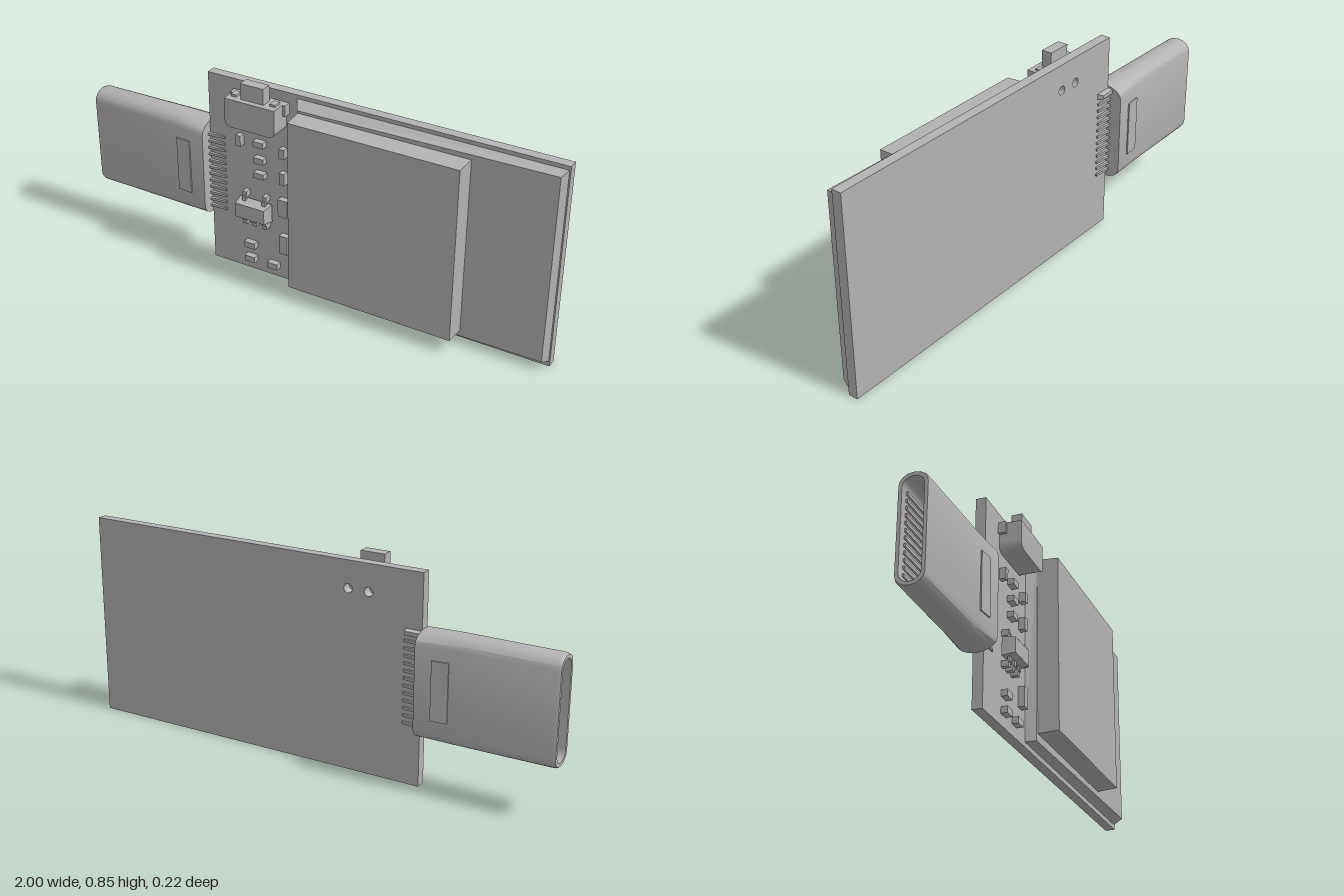
import * as THREE from 'three';
import { toCreasedNormals } from 'three/addons/utils/BufferGeometryUtils.js';

const grey = new THREE.MeshStandardMaterial({ color: 0xb3b3b3 });
grey.name = 'plain grey';

function add(parent, name, geometry) {
  const mesh = new THREE.Mesh(geometry, grey);
  mesh.name = name;
  parent.add(mesh);
  return mesh;
}

// Box given by its limits on each axis
function box(parent, name, x0, x1, y0, y1, z0, z1) {
  const mesh = add(parent, name, new THREE.BoxGeometry(x1 - x0, y1 - y0, z1 - z0));
  mesh.position.set((x0 + x1) / 2, (y0 + y1) / 2, (z0 + z1) / 2);
  return mesh;
}

// Block whose front corners differ from its back ones; corners run [left-bottom, right-bottom, right-top, left-top]
function taperedBlock(parent, name, back, zBack, front, zFront) {
  const g = new THREE.BoxGeometry(2, 2, 2);
  const p = g.attributes.position;
  for (let i = 0; i < p.count; i++) {
    const right = p.getX(i) > 0, top = p.getY(i) > 0, fore = p.getZ(i) > 0;
    const [x, y] = (fore ? front : back)[top ? (right ? 2 : 3) : (right ? 1 : 0)];
    p.setXYZ(i, x, y, fore ? zFront : zBack);
  }
  const flat = g.toNonIndexed();
  flat.computeVertexNormals();
  return add(parent, name, flat);
}
const rect = (x0, x1, y0, y1) => [[x0, y0], [x1, y0], [x1, y1], [x0, y1]];

// Rounded-rectangle section in the yz plane; half sizes hy, hz and corner sizes cy, cz
function section(x, hy, hz, cy, cz) {
  const points = [], steps = 4;
  for (let q = 0; q < 4; q++) {
    const sy = q === 0 || q === 3 ? 1 : -1, sz = q < 2 ? 1 : -1;
    for (let k = 0; k <= steps; k++) {
      const a = (q + k / steps) * Math.PI / 2;
      points.push([x, 0.414 + sy * (hy - cy) + cy * Math.cos(a), -0.034 + sz * (hz - cz) + cz * Math.sin(a)]);
    }
  }
  return points;
}

function loft(rings) {
  const n = rings[0].length, index = [];
  for (let r = 0; r < rings.length - 1; r++) {
    for (let j = 0; j < n; j++) {
      const a = r * n + j, b = r * n + (j + 1) % n;
      index.push(a, a + n, b, b, a + n, b + n);
    }
  }
  const g = new THREE.BufferGeometry();
  g.setAttribute('position', new THREE.Float32BufferAttribute(rings.flat(2), 3));
  g.setIndex(index);
  return toCreasedNormals(g, 0.5);
}

function buildBoard(model) {
  const shape = new THREE.Shape(rect(-0.46, 1, 0, 0.827).map(([x, y]) => new THREE.Vector2(x, y)));
  for (const x of [-0.24, -0.155]) {
    shape.holes.push(new THREE.Path().absarc(x, 0.72, 0.018, 0, Math.PI * 2, true));
  }
  const g = new THREE.ExtrudeGeometry(shape, { depth: 0.04, bevelEnabled: false, curveSegments: 10 });
  add(model, 'circuitBoard', g).position.z = -0.05;
}

function buildScreen(model) {
  // Wide tray with sloped edges, and the thick block on top of it
  taperedBlock(model, 'screenTray', rect(-0.065, 0.995, 0.02, 0.812), -0.01,
    [[-0.05, 0.025], [0.982, 0.038], [0.982, 0.8], [-0.04, 0.785]], 0.03);
  taperedBlock(model, 'screenBlock', rect(-0.038, 0.658, 0.057, 0.776), 0.03,
    rect(-0.034, 0.654, 0.061, 0.772), 0.112);
}

function buildPlug(model) {
  const plug = new THREE.Group();
  plug.name = 'plug';
  model.add(plug);
  // Shell flares towards the board and is hollow at the tip
  add(plug, 'plugShell', loft([
    section(-0.462, 0, 0, 0, 0),
    section(-0.462, 0.204, 0.077, 0.045, 0.07),
    section(-0.6, 0.21, 0.064, 0.045, 0.06),
    section(-0.99, 0.21, 0.056, 0.045, 0.052),
    section(-1, 0.206, 0.053, 0.043, 0.05),
    section(-1, 0.192, 0.04, 0.035, 0.038),
    section(-0.7, 0.192, 0.04, 0.035, 0.038),
    section(-0.7, 0, 0, 0, 0),
  ]));
  for (const side of [1, -1]) {
    // Latch plates on both faces
    const latch = box(plug, 'latchPlate', -0.592, -0.527, 0.3, 0.53, -0.004, 0.004);
    latch.position.z = -0.034 + side * 0.069;
    latch.rotation.y = -side * 0.094;
    for (let i = 0; i < 12; i++) {
      // Contacts inside the mouth
      const y = 0.264 + i * 0.0273;
      const z = -0.034 + side * 0.037;
      box(plug, 'contact', -0.97, -0.72, y - 0.006, y + 0.006, z - 0.004, z + 0.004);
      // Solder pins on the board
      const py = 0.245 + i * 0.029;
      const pin = box(plug, 'solderPin', -0.465, -0.39, py - 0.005, py + 0.005, -0.006, 0.006);
      pin.position.z = side > 0 ? -0.006 : -0.054;
      pin.rotation.y = side * 0.1;
    }
  }
  // Shell tab behind the board
  taperedBlock(plug, 'shellTab', rect(-0.47, -0.4, 0.59, 0.605), -0.07, rect(-0.47, -0.39, 0.585, 0.61), -0.05);
}

function buildSwitch(model) {
  const group = new THREE.Group();
  group.name = 'slideSwitch';
  model.add(group);
  // Body with rounded lower corners
  const s = new THREE.Shape();
  s.moveTo(-0.33, 0.785);
  s.lineTo(-0.33, 0.7);
  s.quadraticCurveTo(-0.33, 0.67, -0.3, 0.67);
  s.lineTo(-0.14, 0.67);
  s.quadraticCurveTo(-0.11, 0.67, -0.11, 0.7);
  s.lineTo(-0.11, 0.785);
  const g = new THREE.ExtrudeGeometry(s, { depth: 0.088, bevelEnabled: false, curveSegments: 5 });
  add(group, 'switchBody', g).position.z = -0.01;
  box(group, 'switchSlider', -0.27, -0.17, 0.78, 0.85, 0.013, 0.056);
  for (const side of [1, -1]) {
    const x = -0.22 + side * 0.085;
    box(group, 'switchStud', x - 0.012, x + 0.012, 0.78, 0.794, 0.015, 0.05);
    const t = -0.22 + side * 0.115;
    box(group, 'switchTab', t - 0.007, t + 0.007, 0.74, 0.785, -0.01, 0.02);
  }
}

function buildComponents(model) {
  // Small transistor with five legs
  taperedBlock(model, 'transistorBody', rect(-0.32, -0.175, 0.255, 0.33), 0, rect(-0.313, -0.182, 0.262, 0.323), 0.05);
  for (const [x, top] of [[-0.29, true], [-0.2, true], [-0.29, false], [-0.247, false], [-0.2, false]]) {
    const y = top ? 0.335 : 0.25, d = top ? 1 : -1;
    box(model, 'transistorLeg', x - 0.009, x + 0.009, y - 0.012, y + 0.012, 0.014, 0.024);
    box(model, 'transistorFoot', x - 0.009, x + 0.009, y + d * 0.018 - 0.012, y + d * 0.018 + 0.012, -0.01, 0.018);
  }
  // Chip components: centre x, centre y, width, height
  const chips = [
    [-0.315, 0.58, 0.022, 0.045], [-0.225, 0.585, 0.045, 0.024], [-0.225, 0.515, 0.045, 0.024],
    [-0.225, 0.45, 0.045, 0.024], [-0.12, 0.575, 0.024, 0.04], [-0.12, 0.465, 0.024, 0.05],
    [-0.118, 0.335, 0.042, 0.075], [-0.117, 0.17, 0.036, 0.08], [-0.275, 0.12, 0.048, 0.026],
    [-0.275, 0.056, 0.046, 0.026], [-0.17, 0.056, 0.046, 0.026],
  ];
  for (const [x, y, w, h] of chips) {
    box(model, 'chip', x - w / 2, x + w / 2, y - h / 2, y + h / 2, -0.01, 0.016);
  }
}

export function createModel() {
  const model = new THREE.Group();
  model.name = 'plugInDisplay';
  buildBoard(model);
  buildScreen(model);
  buildPlug(model);
  buildSwitch(model);
  buildComponents(model);
  return model;
}
